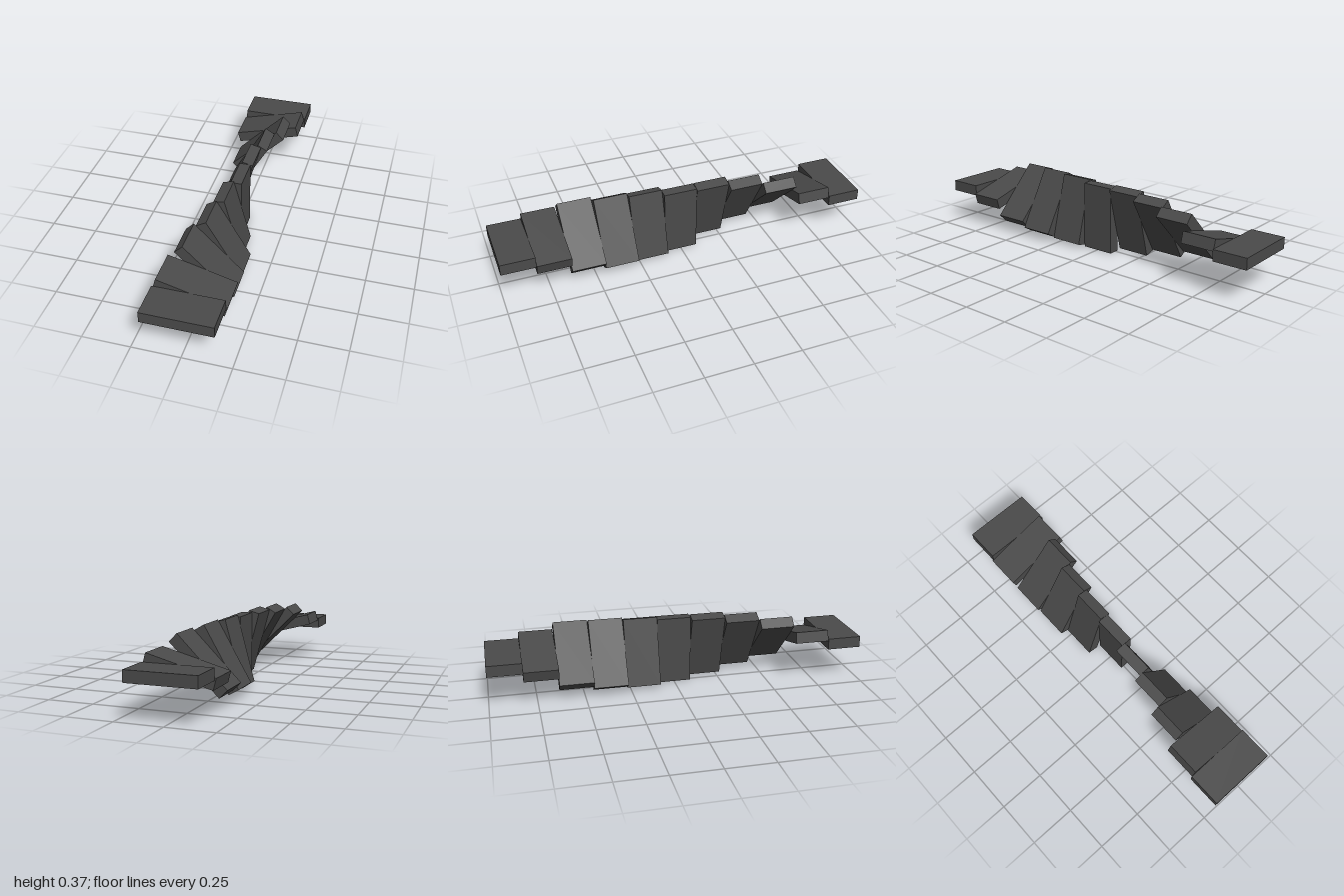
import * as THREE from 'three';

// A twisted bar: eleven flat slabs in a row along z, each turned further about z
export function createModel() {
  const group = new THREE.Group();
  group.name = 'twistedBar';
  const darkGrey = new THREE.MeshStandardMaterial({ color: 0x4a4a4a });
  darkGrey.name = 'darkGrey';

  const length = 2 / 11;
  const slab = new THREE.BoxGeometry(0.364, 0.06, length);

  const addSlab = (name, x, y, z, degrees) => {
    const mesh = new THREE.Mesh(slab, darkGrey);
    mesh.name = name;
    mesh.position.set(x, y, z);
    mesh.rotation.z = THREE.MathUtils.degToRad(degrees);
    group.add(mesh);
  };

  // Upright slab in the middle
  addSlab('middleSlab', 0.014, 0.183, 0, 90);

  // Slabs from the middle outwards: x, y and tilt; the back half mirrors the front
  const steps = [
    [0.02, 0.192, 75],
    [0.0265, 0.2005, 60],
    [0.007, 0.2045, 45],
    [-0.0078, 0.2125, 15],
    [-0.015, 0.2135, 0],
  ];
  steps.forEach(([x, y, tilt], i) => {
    const z = (i + 1) * length;
    addSlab(`frontSlab${i + 1}`, x, y, z, -tilt);
    addSlab(`backSlab${i + 1}`, -x, y, -z, tilt);
  });
  return group;
}
